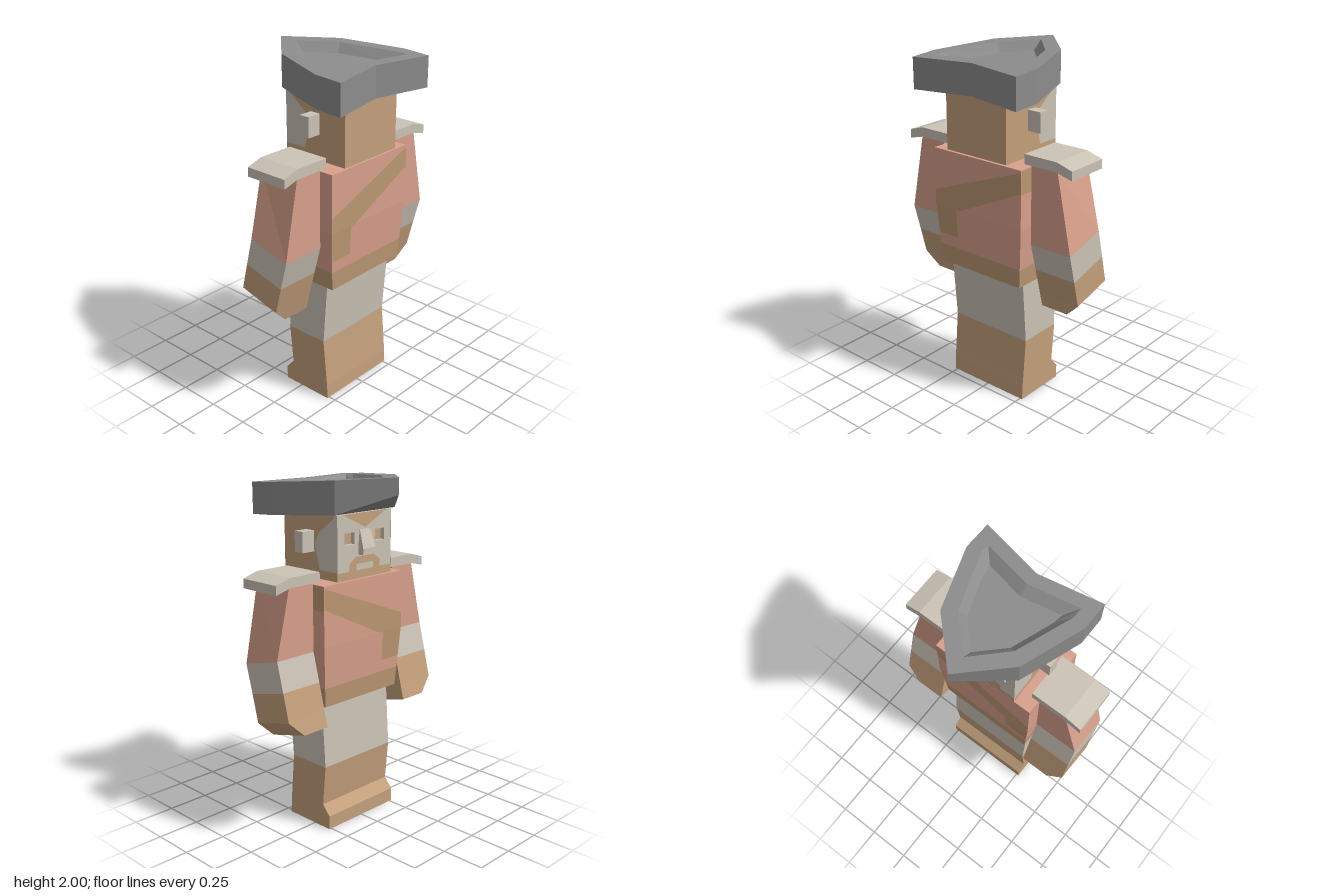
import * as THREE from 'three';

const mat = (color) => new THREE.MeshStandardMaterial({ color, flatShading: true });
const PINK = mat(0xd9a08c), TAN = mat(0xc4a07c), PALE = mat(0xcbc3b6), HAT = mat(0x8c8c8c);
const SASH = mat(0xbb9872), LIP = mat(0xc4a07c);
SASH.side = LIP.side = THREE.DoubleSide;
const PALE_PATCH = mat(0xcbc3b6);
PALE_PATCH.side = THREE.DoubleSide;

function add(parent, name, geometry, material) {
  const mesh = new THREE.Mesh(geometry, material);
  mesh.name = name;
  parent.add(mesh);
  return mesh;
}

const centroid = (ring) => [0, 1, 2].map((k) => ring.reduce((s, p) => s + p[k], 0) / ring.length);

// Skin stacked rings (clockwise from above, lowest first) and fan-cap both ends
function loft(rings, bottom = centroid(rings[0]), top = centroid(rings[rings.length - 1])) {
  const pos = [];
  const tri = (...pts) => pts.forEach((p) => pos.push(...p));
  const n = rings[0].length, last = rings[rings.length - 1];
  for (let i = 0; i < n; i++) {
    const j = (i + 1) % n;
    for (let k = 0; k + 1 < rings.length; k++) {
      const lo = rings[k], hi = rings[k + 1];
      tri(lo[i], hi[i], hi[j]);
      tri(lo[i], hi[j], lo[j]);
    }
    tri(bottom, rings[0][i], rings[0][j]);
    tri(top, last[j], last[i]);
  }
  const g = new THREE.BufferGeometry();
  g.setAttribute('position', new THREE.Float32BufferAttribute(pos, 3));
  g.computeVertexNormals();
  return g;
}

// Four-cornered ring: edge at zA (height yA) and edge at zB (height yB)
const quad = (x0, x1, zA, yA, zB, yB = yA) => [[x0, yA, zA], [x1, yA, zA], [x1, yB, zB], [x0, yB, zB]];
const block = (hx, zA, zB, y) => quad(-hx, hx, zA, y, zB);

const shape = (pts) => new THREE.Shape(pts.map(([x, y]) => new THREE.Vector2(x, y)));
const prism = (s, depth) => new THREE.ExtrudeGeometry(s, { depth, bevelEnabled: false });

// Flat colour panel on a z plane
function patch(parent, name, pts, z, material) {
  const m = add(parent, name, new THREE.ShapeGeometry(shape(pts)), material);
  m.position.z = z;
  return m;
}
// Flat colour panel on an x plane, points given as [z, y]
function sidePatch(parent, name, pts, x, material) {
  const m = add(parent, name, new THREE.ShapeGeometry(shape(pts.map(([z, y]) => [-z, y]))), material);
  m.rotation.y = Math.PI / 2;
  m.position.x = x;
}

function makeLegs(root) {
  const g = new THREE.Group();
  g.name = 'legs';
  const knee = block(0.265, -0.09, 0.175, 0.375);
  add(g, 'boots', loft([block(0.265, -0.12, 0.205, 0), block(0.265, -0.12, 0.202, 0.08),
    block(0.265, -0.068, 0.196, 0.14), knee]), TAN);
  add(g, 'trousers', loft([knee, block(0.265, -0.065, 0.205, 0.76)]), PALE);
  root.add(g);
}

function makeTorso(root) {
  const g = new THREE.Group();
  g.name = 'torso';
  const belt = block(0.293, -0.121, 0.266, 0.86);
  add(g, 'belt', loft([block(0.285, -0.115, 0.26, 0.75), belt]), SASH);
  add(g, 'shirt', loft([belt, block(0.31, -0.135, 0.28, 1.1), block(0.31, -0.135, 0.28, 1.437)]), PINK);
  // Sash over one shoulder, hanging at the opposite hip
  const band = [[0.31, 1.425], [0.31, 1.31], [-0.13, 1.1], [-0.31, 1.1], [-0.31, 1.19]];
  const tail = [[-0.308, 1.1], [-0.155, 1.1], [-0.155, 0.93], [-0.296, 0.93]];
  for (const z of [0.282, -0.137]) {
    patch(g, 'sash', band, z, SASH);
    const hang = patch(g, 'sashTail', tail, z, SASH);
    const p = hang.geometry.attributes.position;
    for (let i = 0; i < p.count; i++) p.setZ(i, -Math.sign(z) * (1.1 - p.getY(i)) * 0.058);
  }
  sidePatch(g, 'sashShoulder', [[-0.135, 1.3], [0.28, 1.3], [0.28, 1.435], [-0.135, 1.435]], 0.312, SASH);
  root.add(g);
}

function makeArm(root, side) {
  const g = new THREE.Group();
  g.name = side > 0 ? 'leftArm' : 'rightArm';
  const ring = (outer, zA, yA, zB, yB) => (side > 0
    ? quad(0.315, outer, zA, yA, zB, yB) : quad(-outer, -0.315, zA, yA, zB, yB));
  const elbow = ring(0.577, -0.055, 1.065, 0.2, 1.0);
  const cuff = ring(0.577, -0.098, 0.9, 0.156, 0.835);
  add(g, 'sleeve', loft([elbow, ring(0.485, -0.055, 1.445, 0.2, 1.445)]), PINK);
  add(g, 'cuff', loft([cuff, elbow]), PALE);
  add(g, 'hand', loft([ring(0.488, -0.161, 0.655, 0.093, 0.59),
    ring(0.577, -0.138, 0.742, 0.115, 0.677), cuff]), TAN);
  // Shoulder pad sloping down at its outer edge
  const pad = [[0.268, 1.445], [0.48, 1.445], [0.577, 1.42], [0.577, 1.472], [0.48, 1.5], [0.268, 1.5]];
  add(g, 'shoulderPad', prism(shape(pad.map(([x, y]) => [x * side, y])), 0.262), PALE).position.z = -0.06;
  root.add(g);
}

function makeHead(root) {
  const g = new THREE.Group();
  g.name = 'head';
  add(g, 'skull', loft([block(0.21, -0.11, 0.28, 1.445), block(0.21, -0.11, 0.28, 1.8)]), TAN);
  // Face plate with sunken eye sockets
  const face = shape([[-0.21, 1.445], [0.21, 1.445], [0.21, 1.8], [-0.21, 1.8]]);
  for (const s of [-1, 1]) {
    face.holes.push(new THREE.Path([[0.08, 1.635], [0.155, 1.635], [0.155, 1.7], [0.08, 1.7]]
      .map(([x, y]) => new THREE.Vector2(x * s, y))));
  }
  add(g, 'face', prism(face, 0.025), PALE).position.z = -0.135;
  patch(g, 'chin', [[-0.21, 1.445], [0.21, 1.445], [0.21, 1.49], [-0.21, 1.49]], -0.137, LIP);
  patch(g, 'moustache', [[-0.12, 1.485], [-0.065, 1.485], [-0.065, 1.525], [0.065, 1.525],
    [0.065, 1.485], [0.12, 1.485], [0.12, 1.53], [0.07, 1.565], [-0.07, 1.565], [-0.12, 1.53]], -0.137, LIP);
  patch(g, 'forehead', [[-0.17, 1.8], [0, 1.72], [0.17, 1.8]], -0.137, LIP);
  // Nose
  const nose = (hx, z, y) => quad(-hx, hx, z, y, -0.13);
  add(g, 'nose', loft([nose(0.05, -0.172, 1.575), nose(0.05, -0.172, 1.61), nose(0.04, -0.137, 1.71)]), PALE);
  for (const s of [-1, 1]) {
    sidePatch(g, 'cheek', [[-0.135, 1.8], [0, 1.7], [0.035, 1.64], [0, 1.495], [-0.135, 1.495]], s * 0.212, PALE_PATCH);
    sidePatch(g, 'jaw', [[-0.135, 1.445], [-0.11, 1.445], [-0.11, 1.495], [-0.135, 1.495]], s * 0.212, LIP);
    const ear = add(g, 'ear', new THREE.BoxGeometry(0.09, 0.115, 0.062), PALE);
    ear.position.set(s * 0.25, 1.648, 0.073);
  }
  root.add(g);
}

function makeHat(root) {
  // Half outline as [x, z] from the peak to the notch, mirrored into a ring
  const ring = (half, height) => {
    const mirror = half.slice(1, -1).reverse().map(([x, z]) => [-x, z]);
    return [...half, ...mirror].map(([x, z]) => [x, height(z), z]);
  };
  const rim = [[0, -0.375], [0.235, -0.14], [0.355, 0.21], [0.355, 0.375], [0, 0.305]];
  const lip = [[0, -0.265], [0.168, -0.09], [0.28, 0.225], [0.28, 0.285], [0, 0.23]];
  const floor = [[0, -0.205], [0.132, -0.07], [0.212, 0.165], [0.22, 0.22], [0, 0.175]];
  const top = (z) => 1.95 + (0.375 - z) * 0.0667;
  const under = (z) => (z < -0.14 ? 1.91 : 1.775 + (0.375 - z) * 0.058);
  const sunk = (z) => top(z) - 0.05;
  add(root, 'hat', loft([ring(rim, under), ring(rim, top), ring(lip, top), ring(floor, sunk)],
    [0, under(-0.14), -0.14], [0, sunk(0), 0]), HAT);
}

export function createModel() {
  const root = new THREE.Group();
  root.name = 'figure';
  makeLegs(root);
  makeTorso(root);
  for (const side of [1, -1]) makeArm(root, side);
  makeHead(root);
  makeHat(root);
  return root;
}
